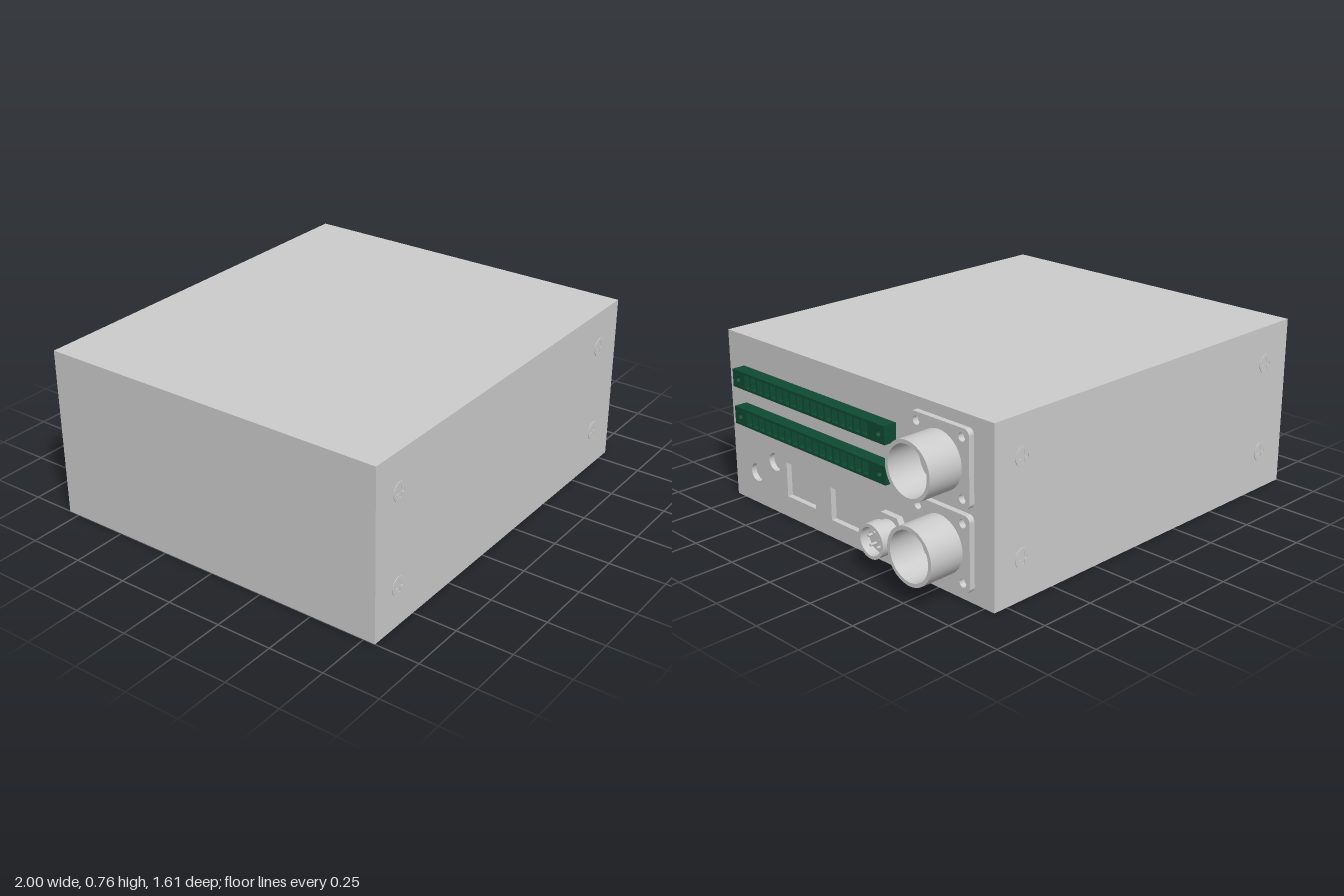
import * as THREE from 'three';

const grey = new THREE.MeshStandardMaterial({ color: 0xcccccc });
const green = new THREE.MeshStandardMaterial({ color: 0x0f4a33 });

const PANEL = 0.025; // thickness of the connector panel
const FACE = 0.815;  // x of the panel's outer surface

function add(parent, name, geometry, material, x = 0, y = 0, z = 0) {
  const mesh = new THREE.Mesh(geometry, material);
  mesh.name = name;
  mesh.position.set(x, y, z);
  parent.add(mesh);
  return mesh;
}

// Outline helpers, used for both solids and holes
function rect(Type, cx, cy, w, h) {
  const x = cx - w / 2, y = cy - h / 2;
  return new Type([[x, y], [x + w, y], [x + w, y + h], [x, y + h]].map(p => new THREE.Vector2(...p)));
}
function circle(Type, cx, cy, r) {
  const path = new Type();
  path.absarc(cx, cy, r, 0, Math.PI * 2, false);
  return path;
}
function roundedRect(w, h, r) {
  const s = new THREE.Shape(), a = w / 2 - r, b = h / 2 - r;
  [[a, b], [-a, b], [-a, -b], [a, -b]].forEach(([x, y], i) =>
    s.absarc(x, y, r, i * Math.PI / 2, (i + 1) * Math.PI / 2, false));
  s.closePath();
  return s;
}
const extrude = (shape, depth) =>
  new THREE.ExtrudeGeometry(shape, { depth, bevelEnabled: false, curveSegments: 20 });

// Hollow tube along z: sharp edges because the profile is lathed wall by wall
function tube(parent, name, outer, inner, z0, z1, floor) {
  const walls = [[[outer, z0], [outer, z1]], [[outer, z1], [inner, z1]], [[inner, z1], [inner, floor]], [[inner, floor], [0, floor]]];
  const group = new THREE.Group();
  group.name = name;
  for (const wall of walls) {
    const g = new THREE.LatheGeometry(wall.map(p => new THREE.Vector2(...p)), 40);
    add(group, name + 'Wall', g.rotateX(Math.PI / 2), grey);
  }
  parent.add(group);
}

// Square-flanged round socket with four mounting holes
function flangedSocket() {
  const group = new THREE.Group();
  group.name = 'flangedSocket';
  const plate = roundedRect(0.322, 0.318, 0.025);
  for (const sx of [-1, 1]) for (const sy of [-1, 1])
    plate.holes.push(circle(THREE.Path, sx * 0.123, sy * 0.123, 0.018));
  add(group, 'socketFlange', extrude(plate, 0.025), grey);
  tube(group, 'socketBarrel', 0.122, 0.106, 0.02, 0.185, 0.028);
  return group;
}

// Small round socket held by a hexagonal nut
function hexSocket() {
  const group = new THREE.Group();
  group.name = 'hexSocket';
  const hex = new THREE.Shape();
  for (let i = 0; i < 6; i++) {
    const a = i * Math.PI / 3;
    hex[i ? 'lineTo' : 'moveTo'](0.095 * Math.cos(a), 0.095 * Math.sin(a));
  }
  hex.closePath();
  add(group, 'hexNut', extrude(hex, 0.028), grey);
  add(group, 'socketCollar', extrude(circle(THREE.Shape, 0, 0, 0.064), 0.04), grey, 0, 0, 0.028);
  tube(group, 'socketRim', 0.074, 0.06, 0.065, 0.125, 0.08);
  for (let i = 0; i < 5; i++) {
    const a = i * Math.PI * 0.4 + 0.3;
    add(group, 'contactPin', new THREE.CylinderGeometry(0.006, 0.006, 0.03, 10).rotateX(Math.PI / 2),
      grey, 0.033 * Math.cos(a), 0.033 * Math.sin(a), 0.095);
  }
  return group;
}

// Green terminal strip with a row of rectangular openings and a hole at each end
function terminalStrip() {
  const group = new THREE.Group();
  group.name = 'terminalStrip';
  const bar = rect(THREE.Shape, 0, 0, 0.972, 0.078);
  const floor = rect(THREE.Shape, 0, 0, 0.972, 0.078);
  for (let i = 0; i < 18; i++)
    bar.holes.push(rect(THREE.Path, -0.01 + (i - 8.5) * 0.0445, 0, 0.035, 0.056));
  for (const s of [-1, 1]) {
    bar.holes.push(circle(THREE.Path, s * 0.45, 0, 0.013));
    floor.holes.push(circle(THREE.Path, s * 0.45, 0, 0.013));
  }
  add(group, 'stripBase', extrude(floor, 0.012), green);
  add(group, 'stripHousing', extrude(bar, 0.048), green, 0, 0, 0.012);
  return group;
}

// Flat screw head with a cross slot
function screwHead() {
  const head = circle(THREE.Shape, 0, 0, 0.042);
  const a = 0.007, b = 0.026;
  head.holes.push(new THREE.Path([[a, a], [b, a], [b, -a], [a, -a], [a, -b], [-a, -b], [-a, -a], [-b, -a],
    [-b, a], [-a, a], [-a, b], [a, b]].map(p => new THREE.Vector2(...p))));
  return extrude(head, 0.003);
}

export function createModel() {
  const model = new THREE.Group();
  model.name = 'controlBox';

  // Case body behind the connector panel
  const depth = FACE - PANEL + 1;
  add(model, 'caseBody', new THREE.BoxGeometry(depth, 0.76, 1.605), grey, -1 + depth / 2, 0.38, 0);

  // Panel group: local x runs toward the back, local z points outward
  const panel = new THREE.Group();
  panel.name = 'connectorPanel';
  panel.rotation.y = Math.PI / 2;
  panel.position.x = FACE;
  model.add(panel);

  // Panel plate with two windows and two round openings
  const plate = rect(THREE.Shape, 0, 0.38, 1.605, 0.76);
  plate.holes.push(
    rect(THREE.Path, -0.345, 0.173, 0.188, 0.155),
    rect(THREE.Path, -0.056, 0.152, 0.182, 0.147),
    circle(THREE.Path, -0.518, 0.23, 0.04),
    circle(THREE.Path, -0.652, 0.143, 0.04));
  add(panel, 'panelPlate', extrude(plate, PANEL), grey, 0, 0, -PANEL);

  // Connectors
  const place = (part, x, y) => { part.position.set(x, y, 0); panel.add(part); };
  for (const y of [0.552, 0.207]) place(flangedSocket(), 0.537, y);
  for (const y of [0.582, 0.415]) place(terminalStrip(), -0.216, y);
  place(hexSocket(), 0.246, 0.152);

  // Screws on the front and back walls
  const screw = screwHead();
  for (const side of [1, -1])
    for (const x of [-0.85, 0.665])
      for (const y of [0.59, 0.18]) {
        const mesh = add(model, 'screwHead', screw, grey, x, y, side * 0.8025);
        if (side < 0) mesh.rotation.y = Math.PI;
      }
  return model;
}
